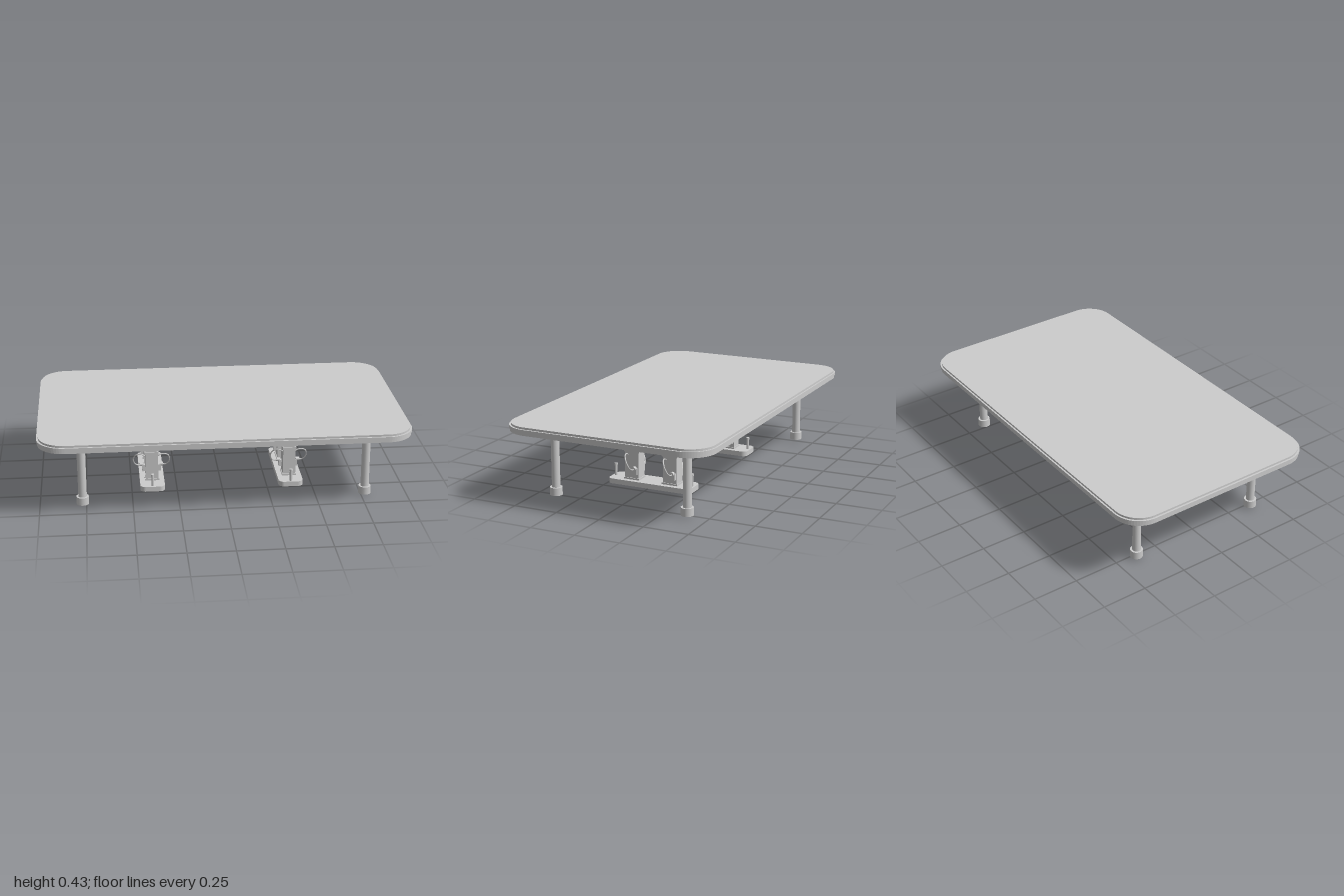
import * as THREE from 'three';

const grey = new THREE.MeshStandardMaterial({ color: 0xcccccc });
grey.name = 'light grey';

function add(parent, name, geometry, x = 0, y = 0, z = 0) {
  const mesh = new THREE.Mesh(geometry, grey);
  mesh.name = name;
  mesh.position.set(x, y, z);
  parent.add(mesh);
  return mesh;
}

// Box or cylinder spanning y0 to y1
const box = (parent, name, w, d, y0, y1, x = 0, z = 0) =>
  add(parent, name, new THREE.BoxGeometry(w, y1 - y0, d), x, (y0 + y1) / 2, z);
const post = (parent, name, r, y0, y1, x = 0, z = 0, sides = 16) =>
  add(parent, name, new THREE.CylinderGeometry(r, r, y1 - y0, sides), x, (y0 + y1) / 2, z);

// Horizontal slab with rounded corners; hx and hz are half sizes
function slab(parent, name, hx, hz, r, y0, y1) {
  const s = new THREE.Shape();
  s.absarc(hx - r, hz - r, r, 0, Math.PI / 2);
  s.absarc(-hx + r, hz - r, r, Math.PI / 2, Math.PI);
  s.absarc(-hx + r, -hz + r, r, Math.PI, Math.PI * 1.5);
  s.absarc(hx - r, -hz + r, r, Math.PI * 1.5, Math.PI * 2);
  s.closePath();
  const g = new THREE.ExtrudeGeometry(s, { depth: y1 - y0, bevelEnabled: false, curveSegments: 8 });
  g.rotateX(-Math.PI / 2);
  return add(parent, name, g, 0, y0, 0);
}

function createColumn(x, z) {
  const g = new THREE.Group();
  g.name = 'column';
  post(g, 'columnShaft', 0.023, 0.03, 0.386);
  post(g, 'columnFoot', 0.034, 0.01, 0.053);
  post(g, 'columnCapital', 0.031, 0.355, 0.386);
  g.position.set(x, 0, z);
  return g;
}

function createPump(z) {
  const g = new THREE.Group();
  g.name = 'pump';
  box(g, 'pumpPlinth', 0.08, 0.092, 0.028, 0.037);
  box(g, 'pumpBody', 0.07, 0.083, 0.03, 0.19);
  box(g, 'pumpCap', 0.076, 0.092, 0.183, 0.198);
  box(g, 'pumpTop', 0.066, 0.08, 0.198, 0.21);
  for (const side of [-1, 1]) {
    // Nozzle holder and nozzle
    box(g, 'nozzleHolder', 0.018, 0.024, 0.06, 0.098, side * 0.043, -0.024);
    const nozzle = post(g, 'nozzle', 0.011, 0.088, 0.108, side * 0.055, -0.024, 12);
    nozzle.position.y = 0.098;
    nozzle.rotation.z = Math.PI / 2;
    // Looped hose
    const path = new THREE.CatmullRomCurve3([
      [0.033, 0.165, 0.022], [0.05, 0.175, 0.021], [0.072, 0.177, 0.019],
      [0.092, 0.165, 0.01], [0.101, 0.137, -0.003], [0.092, 0.107, -0.016],
      [0.075, 0.095, -0.024], [0.055, 0.098, -0.025],
    ].map(([x, y, pz]) => new THREE.Vector3(side * x, y, pz)));
    add(g, 'hose', new THREE.TubeGeometry(path, 28, 0.0035, 6));
  }
  g.position.z = z;
  return g;
}

function createIsland(x) {
  const g = new THREE.Group();
  g.name = 'pumpIsland';
  slab(g, 'islandBase', 0.068, 0.248, 0.03, 0, 0.028);
  for (const side of [-1, 1]) {
    g.add(createPump(side * 0.115));
    post(g, 'bollard', 0.0075, 0.028, 0.09, 0, side * 0.231, 10);
    post(g, 'bollardCap', 0.0095, 0.086, 0.097, 0, side * 0.231, 10);
  }
  g.position.x = x;
  return g;
}

export function createModel() {
  const model = new THREE.Group();
  model.name = 'fuelStation';

  // Stepped canopy roof
  const canopy = new THREE.Group();
  canopy.name = 'canopy';
  slab(canopy, 'canopyLower', 0.996, 0.582, 0.146, 0.385, 0.401);
  slab(canopy, 'canopyBand', 1, 0.586, 0.15, 0.401, 0.417);
  slab(canopy, 'canopyUpper', 0.99, 0.577, 0.142, 0.417, 0.428);
  model.add(canopy);

  for (const sx of [-1, 1]) {
    for (const sz of [-1, 1]) model.add(createColumn(sx * 0.77, sz * 0.385));
    model.add(createIsland(sx * 0.385));
  }
  return model;
}
